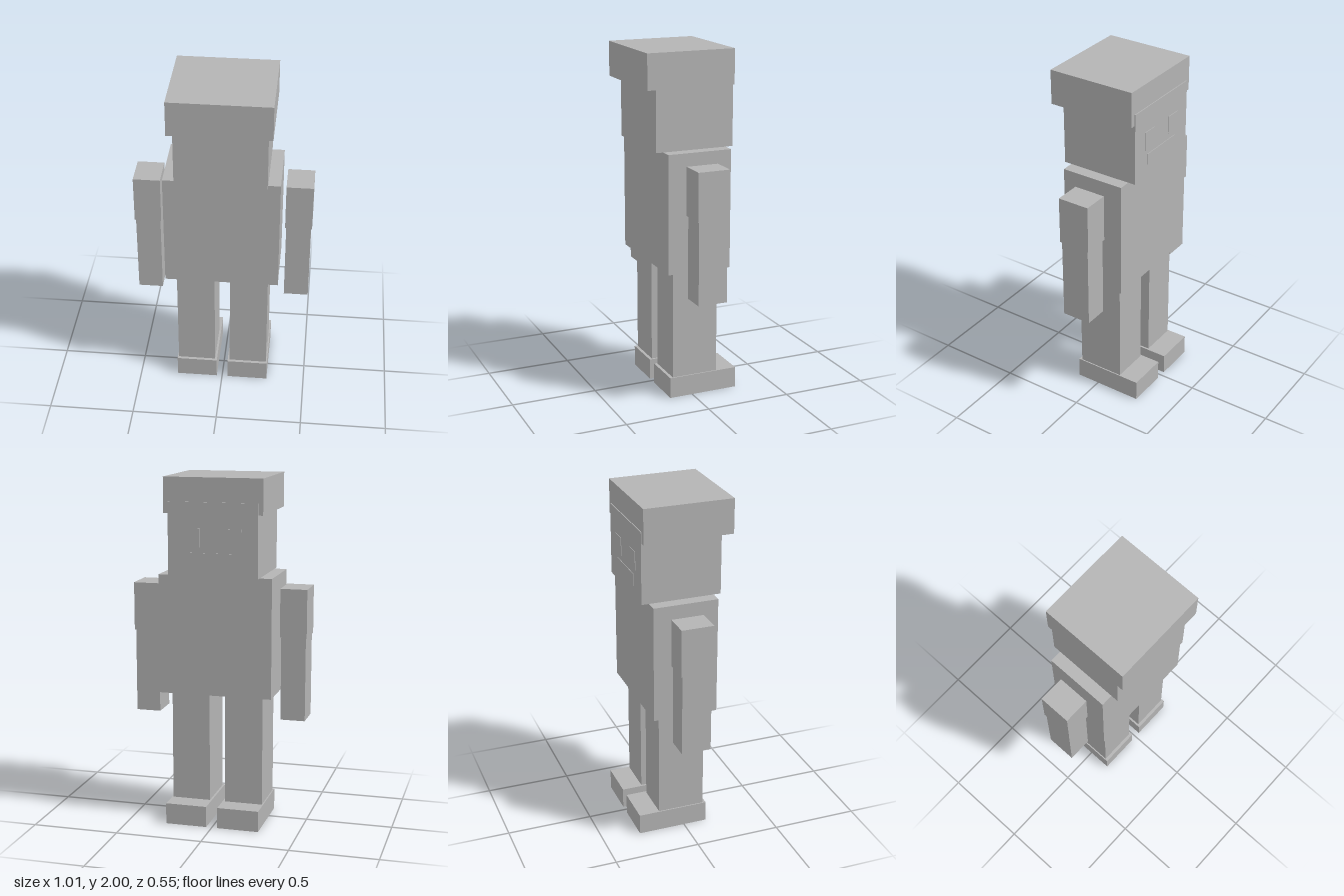
import * as THREE from 'three';

// Box given by its ranges in x, y and z, with the underside left open
function openBox(name, [x0, x1], [y0, y1], [z0, z1], material) {
  const geometry = new THREE.BoxGeometry(x1 - x0, y1 - y0, z1 - z0);
  const index = Array.from(geometry.index.array);
  index.splice(18, 6); // the -y side
  geometry.setIndex(index);
  geometry.clearGroups();
  const mesh = new THREE.Mesh(geometry, material);
  mesh.name = name;
  mesh.position.set((x0 + x1) / 2, (y0 + y1) / 2, (z0 + z1) / 2);
  return mesh;
}

// Thin painted plate on the face, which looks towards -z
function facePlate(name, [x0, x1], [y0, y1], material) {
  const mesh = new THREE.Mesh(new THREE.BoxGeometry(x1 - x0, y1 - y0, 0.004), material);
  mesh.name = name;
  mesh.position.set((x0 + x1) / 2, (y0 + y1) / 2, -0.249);
  return mesh;
}

export function createModel() {
  const model = new THREE.Group();
  model.name = 'blockFigure';
  const grey = new THREE.MeshStandardMaterial({ color: 0xb4b4b4, side: THREE.DoubleSide });
  grey.name = 'plainGrey';

  // Head, cap of hair and torso
  model.add(
    openBox('torso', [-0.327, 0.327], [0.765, 1.45], [-0.205, 0.172], grey),
    openBox('head', [-0.257, 0.257], [1.45, 1.865], [-0.248, 0.215], grey),
    openBox('hair', [-0.284, 0.284], [1.8, 2], [-0.243, 0.275], grey),
    facePlate('mouth', [-0.137, 0.137], [1.515, 1.585], grey)
  );

  // Paired parts: name, x, y and z ranges on the left side
  const limbs = [
    ['Sleeve', [0.354, 0.507], [1.105, 1.382], [-0.112, 0.076]],
    ['Arm', [0.36, 0.501], [0.625, 1.3], [-0.104, 0.068]],
    ['Leg', [0.045, 0.267], [0.122, 0.765], [-0.155, 0.12]],
    ['Shoe', [0.033, 0.274], [0, 0.122], [-0.277, 0.138]],
  ];
  for (const side of [1, -1]) {
    const prefix = side > 0 ? 'left' : 'right';
    const mirror = ([a, b]) => (side > 0 ? [a, b] : [-b, -a]);
    for (const [name, x, y, z] of limbs) {
      model.add(openBox(prefix + name, mirror(x), y, z, grey));
    }
    model.add(facePlate(prefix + 'Eye', mirror([0.072, 0.163]), [1.615, 1.722], grey));
  }
  return model;
}
